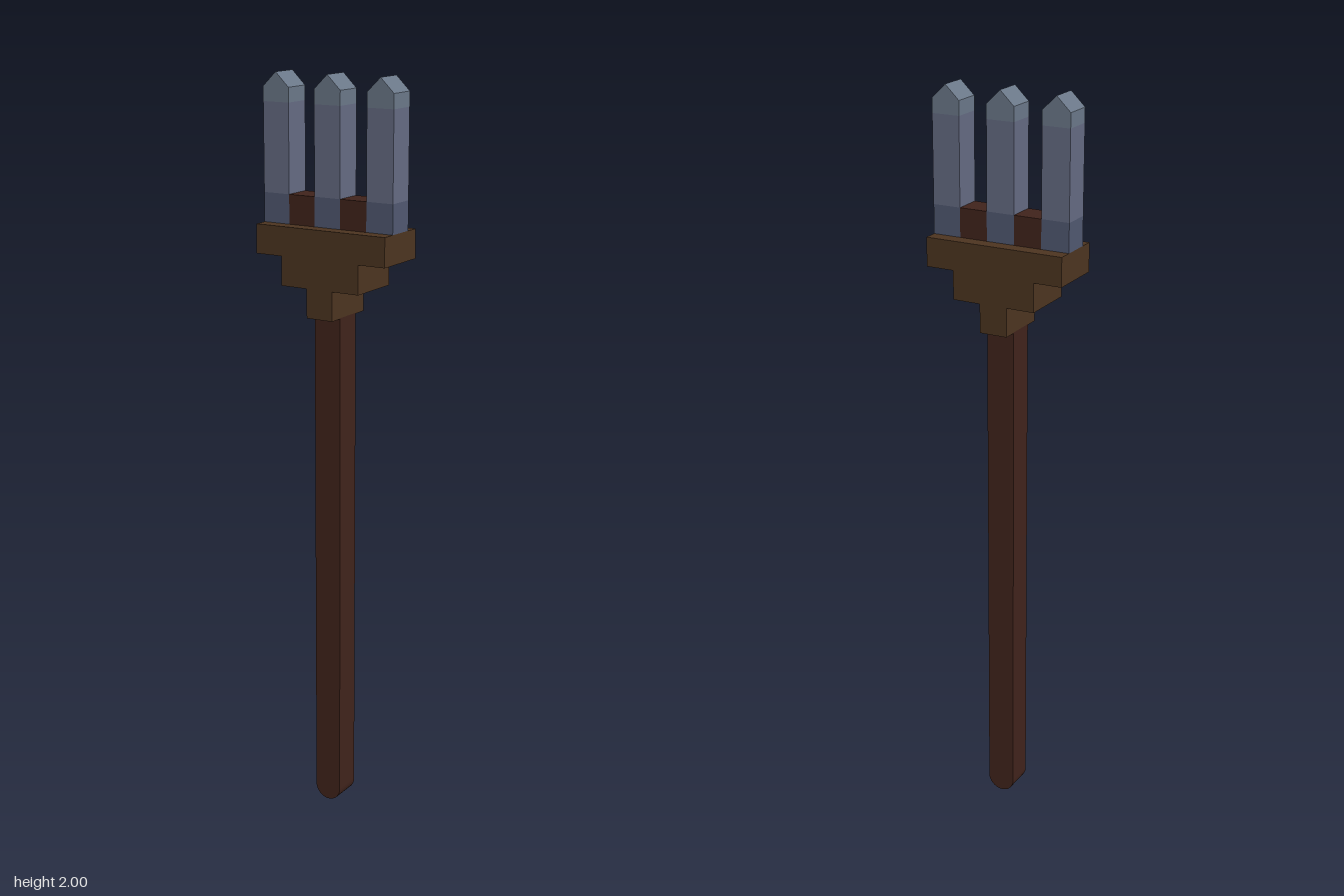
import * as THREE from 'three';

const U = 0.077; // basic block width
const material = (color) => new THREE.MeshStandardMaterial({ color, flatShading: true });

export function createModel() {
  const model = new THREE.Group();
  const darkWood = material(0x40231b);
  const wood = material(0x4c3420);
  const steelBase = material(0x505870);
  const steel = material(0x646a82);
  const steelTip = material(0x6a7788);

  const add = (parent, name, geometry, mat, x = 0, y = 0) => {
    const mesh = new THREE.Mesh(geometry, mat);
    mesh.name = name;
    mesh.position.set(x, y, 0);
    parent.add(mesh);
    return mesh;
  };
  const block = (parent, name, mat, x, y0, y1, w, d) =>
    add(parent, name, new THREE.BoxGeometry(w, y1 - y0, d), mat, x, (y0 + y1) / 2);
  const slab = (shape) =>
    new THREE.ExtrudeGeometry(shape, { depth: U, bevelEnabled: false, curveSegments: 8 }).translate(0, 0, -U / 2);

  // Square shaft with a half-round foot
  const shaft = new THREE.Shape();
  shaft.moveTo(U / 2, 1.388);
  shaft.lineTo(-U / 2, 1.388);
  shaft.lineTo(-U / 2, U / 2);
  shaft.absarc(0, U / 2, U / 2, Math.PI, 2 * Math.PI, false);
  shaft.closePath();
  add(model, 'shaft', slab(shaft), darkWood);

  // Stepped head, widening upward
  const head = new THREE.Group();
  head.name = 'steppedHead';
  model.add(head);
  [1, 3, 5].forEach((n, i) =>
    block(head, 'headStep', wood, 0, 1.386 + i * U, 1.386 + (i + 1) * U, n * U, 2 * U));

  // Dark blocks filling the gaps between the prongs
  const top = 1.386 + 3 * U;
  for (const side of [-1, 1]) block(model, 'spacer', darkWood, side * U, top, top + U, U, U);

  // Three prongs with ridged tips
  const tip = new THREE.Shape();
  tip.moveTo(-U / 2, 1.925);
  tip.lineTo(U / 2, 1.925);
  tip.lineTo(U / 2, 1.963);
  tip.lineTo(0, 2);
  tip.lineTo(-U / 2, 1.963);
  tip.closePath();
  for (const i of [-1, 0, 1]) {
    const prong = new THREE.Group();
    prong.name = 'prong';
    prong.position.x = i * 2 * U;
    model.add(prong);
    block(prong, 'prongBase', steelBase, 0, top, top + U, U, U);
    block(prong, 'prongBlade', steel, 0, top + U, 1.925, U, U);
    add(prong, 'prongTip', slab(tip), steelTip);
  }
  return model;
}
